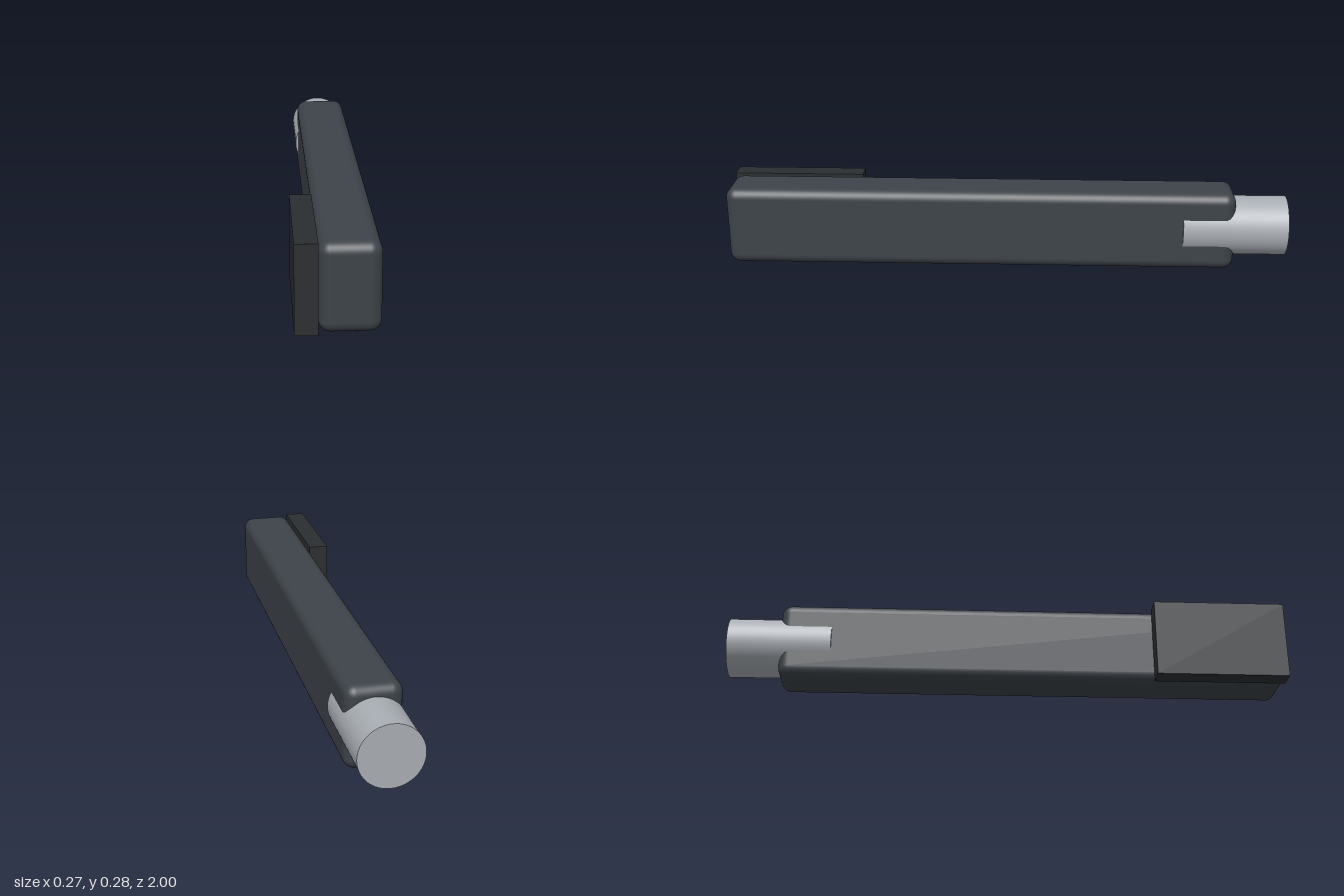
import * as THREE from 'three';
import { RoundedBoxGeometry } from 'three/addons/geometries/RoundedBoxGeometry.js';

export function createModel() {
  const model = new THREE.Group();
  model.name = 'barWithRodAndPlate';

  const add = (name, geometry, color, x, y, z) => {
    const mesh = new THREE.Mesh(geometry, new THREE.MeshStandardMaterial({ color }));
    mesh.name = name;
    mesh.position.set(x, y, z);
    model.add(mesh);
    return mesh;
  };

  const height = 0.283, midY = height / 2, axisX = 0.029;

  // long bar with softly rounded edges
  add('body', new RoundedBoxGeometry(0.188, height, 1.814, 6, 0.037), 0x3d4349, axisX, midY, 0.093);

  // round rod, slightly wider than the bar, so it bulges through both sides
  const rod = new THREE.CylinderGeometry(0.106, 0.106, 0.37, 64).rotateX(Math.PI / 2);
  add('rod', rod, 0xa9aeb4, axisX, midY, -0.815);

  // sharp-edged plate on the right side at the front end
  add('sidePlate', new THREE.BoxGeometry(0.071, height, 0.47), 0x2b2e30, -0.1005, midY, 0.765);

  return model;
}
